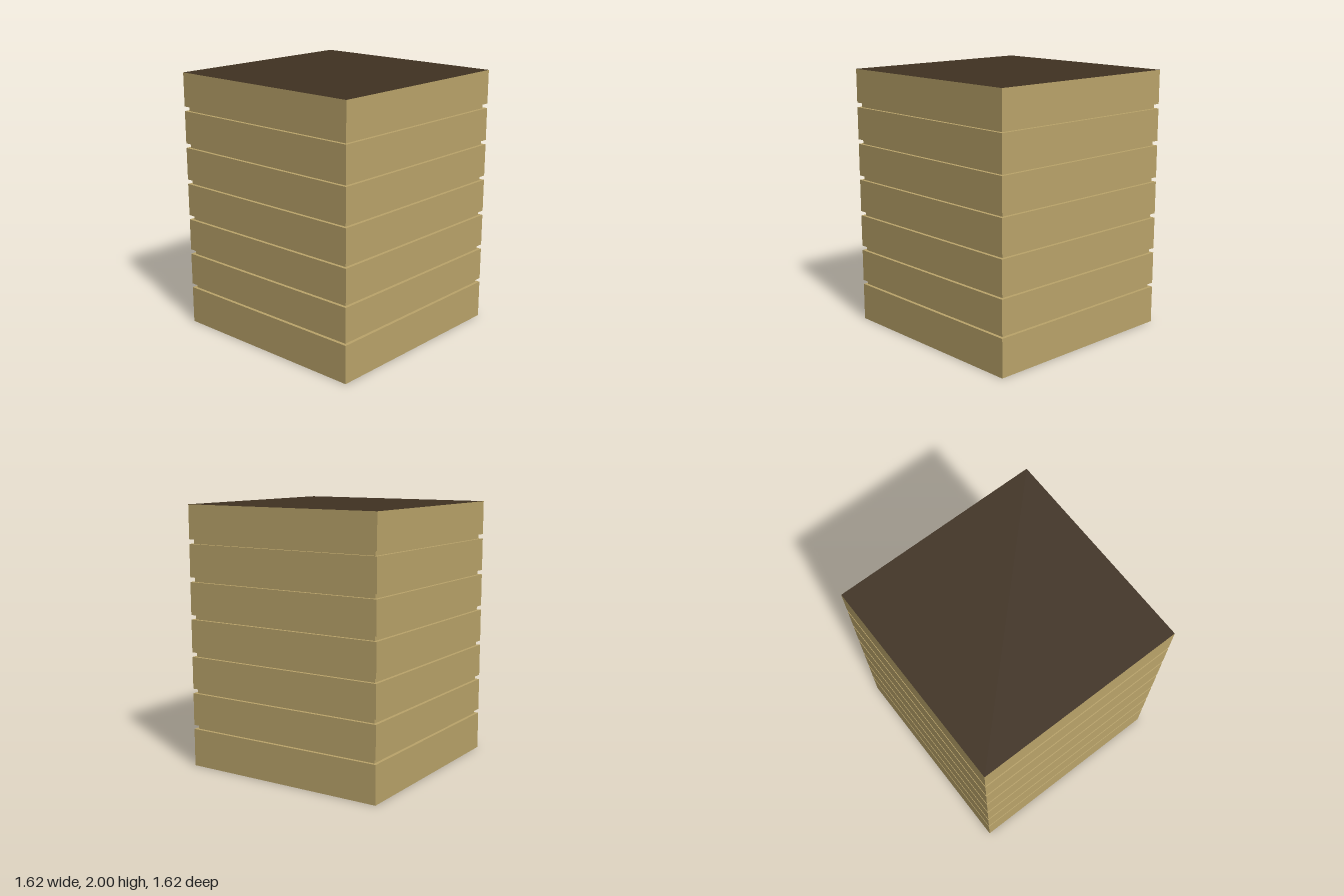
import * as THREE from 'three';

export function createModel() {
  const group = new THREE.Group();

  const wood = new THREE.MeshStandardMaterial({ color: 0xbaa46a });
  wood.name = 'pale wood';
  const dark = new THREE.MeshStandardMaterial({ color: 0x403222 });
  dark.name = 'dark brown top';

  // Square block spanning y0 to y1
  function block(name, width, y0, y1, material) {
    const mesh = new THREE.Mesh(new THREE.BoxGeometry(width, y1 - y0, width), material);
    mesh.position.y = (y0 + y1) / 2;
    mesh.name = name;
    group.add(mesh);
  }

  // Bottom and top of each wide plank layer
  const layers = [
    [0, 0.29], [0.322, 0.571], [0.607, 0.854], [0.889, 1.14],
    [1.175, 1.424], [1.459, 1.708], [1.743, 2],
  ];
  layers.forEach(([y0, y1], i) => {
    const isTop = i === layers.length - 1;
    // Only the upward face of the top layer is dark
    const material = isTop ? [wood, wood, dark, wood, wood, wood] : wood;
    block(`plankLayer${i + 1}`, 1.62, y0, y1, material);
    // Recessed spacer filling the groove above this layer
    if (!isTop) block(`grooveCore${i + 1}`, 1.57, y1, layers[i + 1][0], wood);
  });

  return group;
}
